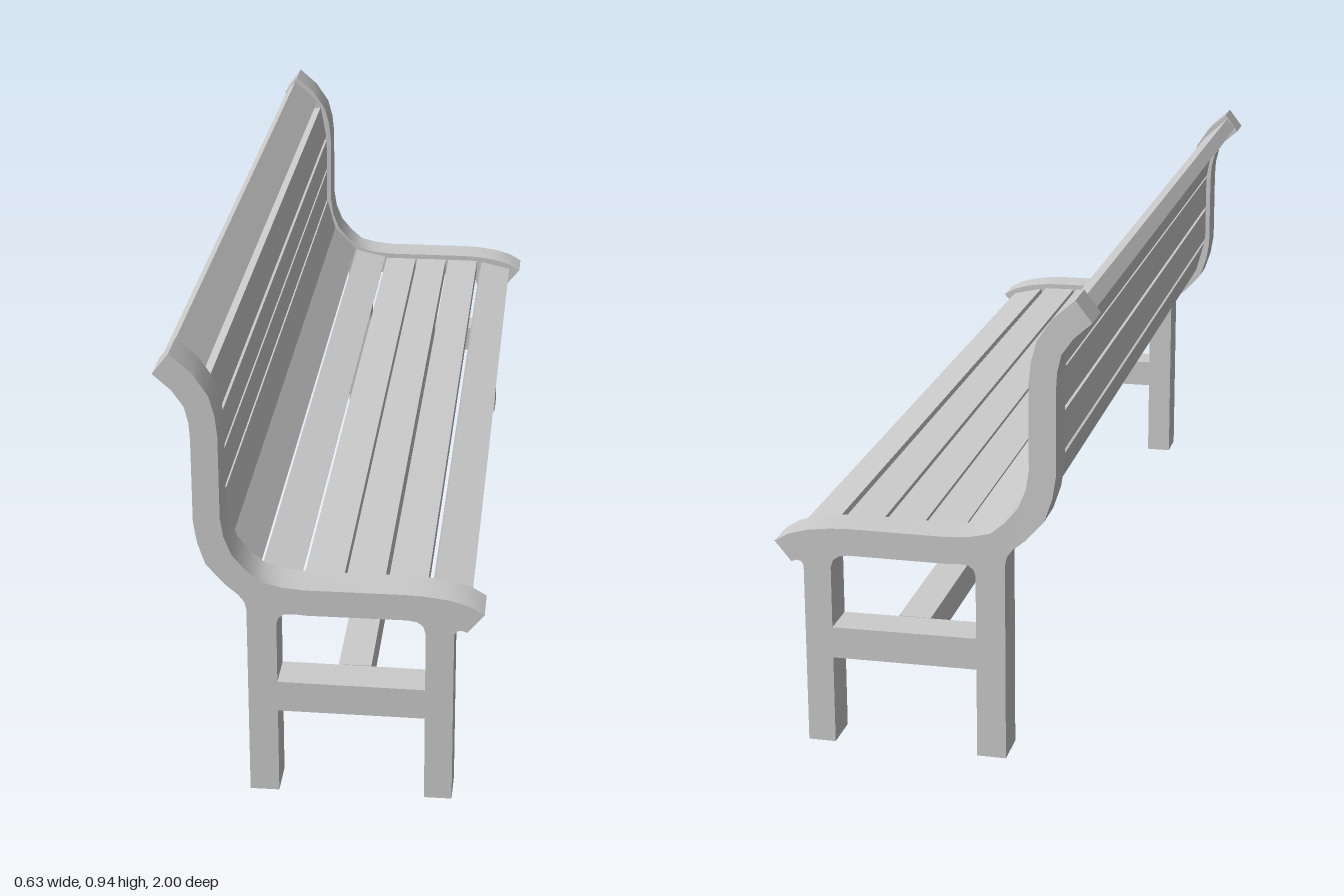
import * as THREE from 'three';
import { toCreasedNormals } from 'three/addons/utils/BufferGeometryUtils.js';

const FRAME_DEPTH = 0.08;
const INNER_Z = 0.92;
const SLAT_THICKNESS = 0.03;

const toPoints = (list) => list.map(([x, y]) => new THREE.Vector2(x, y));

// Side frame outline: S-shaped backrest and seat rail, two legs and a cross bar
const OUTLINE = [
  // back leg, cross bar underside, front leg
  [-0.148, 0], [-0.09, 0], [-0.09, 0.183], [0.2, 0.181], [0.2, 0], [0.255, 0],
  // front lip of the seat
  [0.255, 0.37], [0.259, 0.378], [0.268, 0.381], [0.28, 0.377], [0.313, 0.417],
  // top of the seat
  [0.284, 0.434], [0.245, 0.445], [0.2, 0.451], [0.16, 0.453], [-0.035, 0.453], [-0.08, 0.457],
  // front of the backrest
  [-0.12, 0.467], [-0.148, 0.491], [-0.174, 0.522], [-0.189, 0.56], [-0.195, 0.6],
  [-0.195, 0.77], [-0.199, 0.81], [-0.21, 0.852], [-0.24, 0.897], [-0.283, 0.935],
  // rear of the backrest
  [-0.315, 0.893], [-0.28, 0.862], [-0.257, 0.829], [-0.249, 0.795], [-0.247, 0.76],
  [-0.247, 0.59], [-0.24, 0.545], [-0.225, 0.5], [-0.187, 0.457], [-0.163, 0.437],
  [-0.152, 0.422], [-0.148, 0.405],
];

// Opening between the seat rail and the cross bar
const OPENING = [
  [-0.09, 0.248], [-0.09, 0.378], [-0.086, 0.39], [-0.076, 0.398], [-0.055, 0.4],
  [-0.03, 0.398], [0.165, 0.398], [0.183, 0.395], [0.195, 0.386], [0.2, 0.37], [0.2, 0.245],
];

// Slat centre lines in profile: [x0, y0, x1, y1]
const BACK_SLATS = [
  [-0.297, 0.913, -0.24, 0.861],
  [-0.236, 0.853, -0.222, 0.775],
  [-0.221, 0.766, -0.221, 0.689],
  [-0.221, 0.68, -0.221, 0.602],
  [-0.219, 0.593, -0.199, 0.518],
  [-0.195, 0.511, -0.14, 0.456],
];
const SEAT_SLATS = [
  [-0.13, 0.447, -0.053, 0.429],
  [-0.045, 0.426, 0.033, 0.426],
  [0.038, 0.426, 0.114, 0.426],
  [0.121, 0.426, 0.198, 0.425],
  [0.208, 0.423, 0.282, 0.406],
];

export function createModel() {
  const group = new THREE.Group();
  const material = new THREE.MeshStandardMaterial({ color: 0xcccccc });

  const add = (name, geometry, x = 0, y = 0, z = 0) => {
    const mesh = new THREE.Mesh(geometry, material);
    mesh.name = name;
    mesh.position.set(x, y, z);
    group.add(mesh);
    return mesh;
  };

  // Two identical side frames
  const shape = new THREE.Shape(toPoints(OUTLINE));
  shape.holes.push(new THREE.Path(toPoints(OPENING)));
  const frameGeometry = toCreasedNormals(
    new THREE.ExtrudeGeometry(shape, { depth: FRAME_DEPTH, bevelEnabled: false }), 0.6);
  add('leftEndFrame', frameGeometry, 0, 0, INNER_Z);
  add('rightEndFrame', frameGeometry, 0, 0, -INNER_Z - FRAME_DEPTH);

  // Slats spanning between the frames, each tilted along the profile
  const addSlats = (name, slats) => slats.forEach(([x0, y0, x1, y1], i) => {
    const width = Math.hypot(x1 - x0, y1 - y0);
    const slat = add(`${name}${i + 1}`,
      new THREE.BoxGeometry(width, SLAT_THICKNESS, INNER_Z * 2),
      (x0 + x1) / 2, (y0 + y1) / 2);
    slat.rotation.z = Math.atan2(y1 - y0, x1 - x0);
  });
  addSlats('backSlat', BACK_SLATS);
  addSlats('seatSlat', SEAT_SLATS);

  // Long stretcher joining the cross bars
  add('stretcher', new THREE.BoxGeometry(0.065, 0.065, INNER_Z * 2), 0.055, 0.215);

  return group;
}
